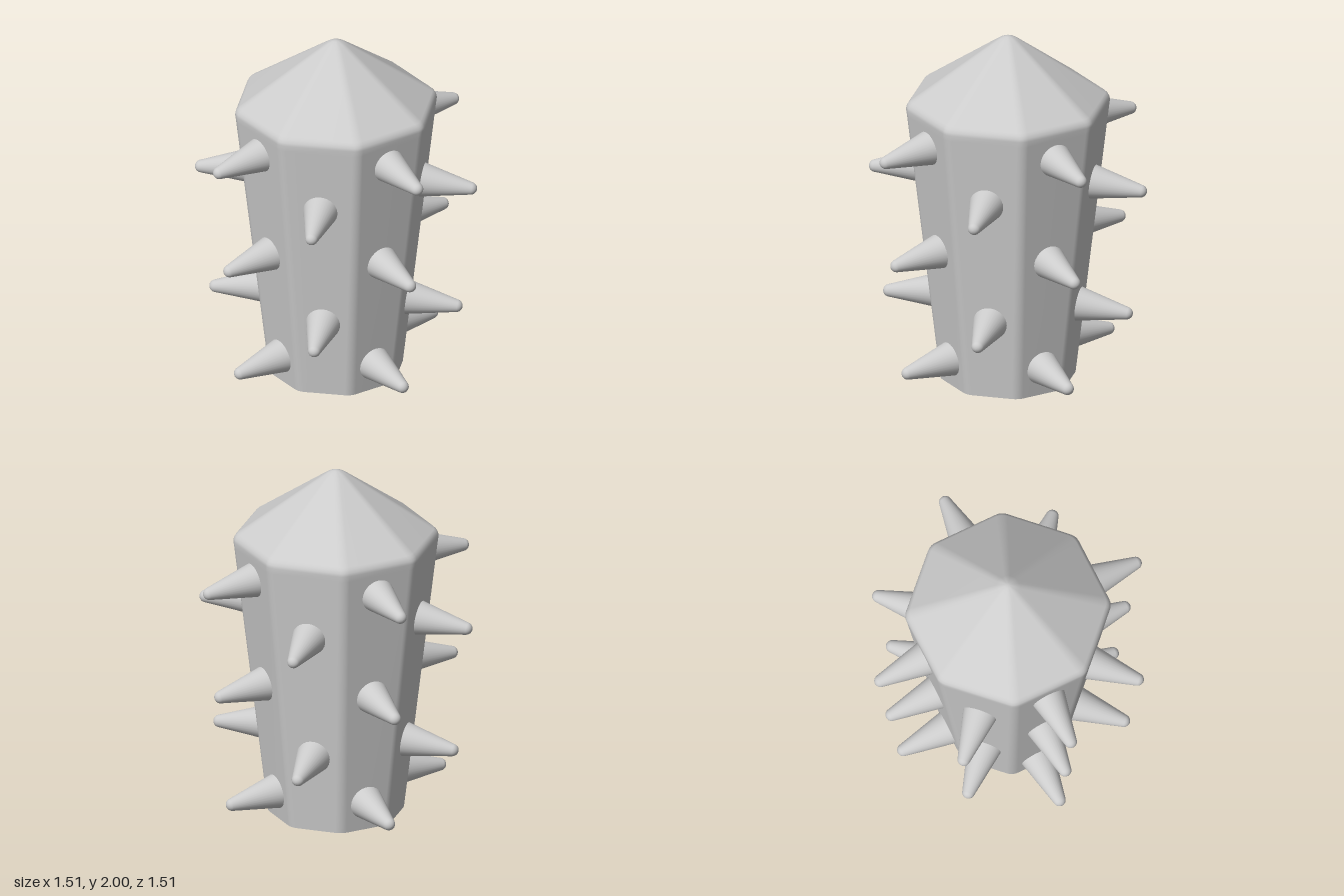
import * as THREE from 'three';

const SIDES = 8, STEP = Math.PI / 4;
const COS_HALF = Math.cos(STEP / 2);
const BASE_R = 0.38, FLARE = 0.1186; // corner radius at the foot, and its growth per unit of height

// One horizontal ring: an octagon of corner radius r with filleted corners
function ringPoints(r, y) {
  const fillet = Math.min(0.08, r * 0.6);
  const core = r - fillet / COS_HALF;
  const points = [];
  for (let k = 0; k < SIDES; k++) {
    for (let j = -2; j <= 2; j++) {
      const a = k * STEP, b = a + (j * STEP) / 4;
      points.push(
        core * Math.sin(a) + fillet * Math.sin(b),
        y,
        core * Math.cos(a) + fillet * Math.cos(b)
      );
    }
  }
  return points;
}

// Flared octagonal shell with a pointed roof, open at the bottom
function bodyGeometry() {
  const profile = [
    [BASE_R, 0], [0.565, 1.56], [0.57, 1.595], [0.567, 1.612], [0.558, 1.628], [0.545, 1.64],
    [0.07, 1.972], [0.045, 1.987], [0.02, 1.997]
  ];
  const n = SIDES * 5;
  const positions = [], index = [];
  for (const [r, y] of profile) positions.push(...ringPoints(r, y));
  for (let i = 0; i < profile.length - 1; i++) {
    for (let j = 0; j < n; j++) {
      const a = i * n + j, b = i * n + ((j + 1) % n);
      index.push(a, b, b + n, a, b + n, a + n);
    }
  }
  // Close the tip
  const apex = positions.length / 3, last = apex - n;
  positions.push(0, 2, 0);
  for (let j = 0; j < n; j++) index.push(last + j, last + ((j + 1) % n), apex);

  const geometry = new THREE.BufferGeometry();
  geometry.setAttribute('position', new THREE.Float32BufferAttribute(positions, 3));
  geometry.setIndex(index);
  geometry.computeVertexNormals();
  return geometry;
}

// Cone with a rounded tip, standing on its base along +y
function spikeGeometry() {
  const length = 0.305, tipR = 0.035, lean = 0.22;
  const points = [new THREE.Vector2(0.095, 0)];
  for (let i = 0; i <= 6; i++) {
    const a = lean + (i / 6) * (Math.PI / 2 - lean);
    points.push(new THREE.Vector2(
      i === 6 ? 0 : tipR * Math.cos(a),
      length - tipR + tipR * Math.sin(a)
    ));
  }
  return new THREE.LatheGeometry(points, 32);
}

export function createModel() {
  const model = new THREE.Group();
  model.name = 'spikedClubHead';
  const material = new THREE.MeshStandardMaterial({ color: 0xcccccc, side: THREE.DoubleSide });

  const body = new THREE.Mesh(bodyGeometry(), material);
  body.name = 'body';
  model.add(body);

  // Spikes stand square to the flared faces; neighbouring faces alternate three and two
  const spikes = new THREE.Group();
  spikes.name = 'spikes';
  const geometry = spikeGeometry();
  const up = new THREE.Vector3(0, 1, 0);
  for (let face = 0; face < SIDES; face++) {
    const angle = (face - 0.5) * STEP;
    const heights = face % 2 === 0 ? [1.44, 0.815, 0.165] : [1.185, 0.455];
    const outward = new THREE.Vector3(Math.sin(angle), 0, Math.cos(angle));
    const normal = outward.clone().setY(-FLARE * COS_HALF).normalize();
    for (const y of heights) {
      const spike = new THREE.Mesh(geometry, material);
      spike.name = 'spike';
      spike.position.copy(outward).multiplyScalar((BASE_R + FLARE * y) * COS_HALF).setY(y);
      spike.quaternion.setFromUnitVectors(up, normal);
      spikes.add(spike);
    }
  }
  model.add(spikes);
  return model;
}
